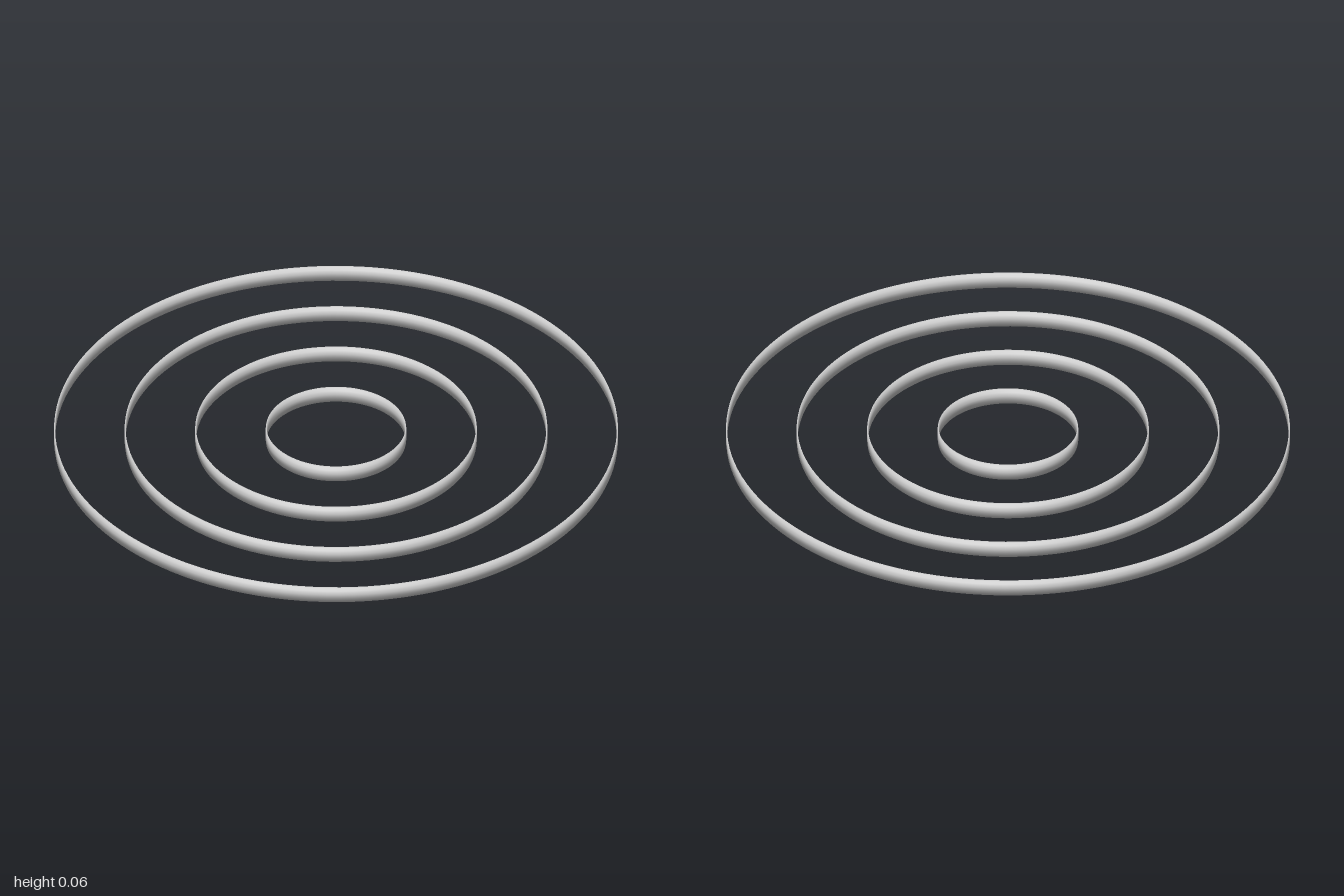
import * as THREE from 'three';

const HEIGHT = 0.064;
const HALF_THICKNESS = 0.003;

// Thin upright band: a torus squeezed radially, keeping its rounded shading normals
function bandGeometry(outerRadius) {
  const radius = outerRadius - HALF_THICKNESS;
  const tube = HEIGHT / 2;
  const geometry = new THREE.TorusGeometry(radius, tube, 12, 128);
  geometry.rotateX(Math.PI / 2);
  geometry.translate(0, tube, 0);
  const position = geometry.attributes.position;
  for (let i = 0; i < position.count; i++) {
    const x = position.getX(i), z = position.getZ(i);
    const r = Math.hypot(x, z);
    const k = (radius + (r - radius) * HALF_THICKNESS / tube) / r;
    position.setX(i, x * k);
    position.setZ(i, z * k);
  }
  return geometry;
}

export function createModel() {
  const group = new THREE.Group();
  group.name = 'concentricRings';
  const material = new THREE.MeshStandardMaterial({ color: 0xcccccc, side: THREE.DoubleSide });

  // Four evenly spaced rings, from the inside out
  for (let i = 1; i <= 4; i++) {
    const ring = new THREE.Mesh(bandGeometry(i * 0.25), material);
    ring.name = `ring${i}`;
    group.add(ring);
  }
  return group;
}
